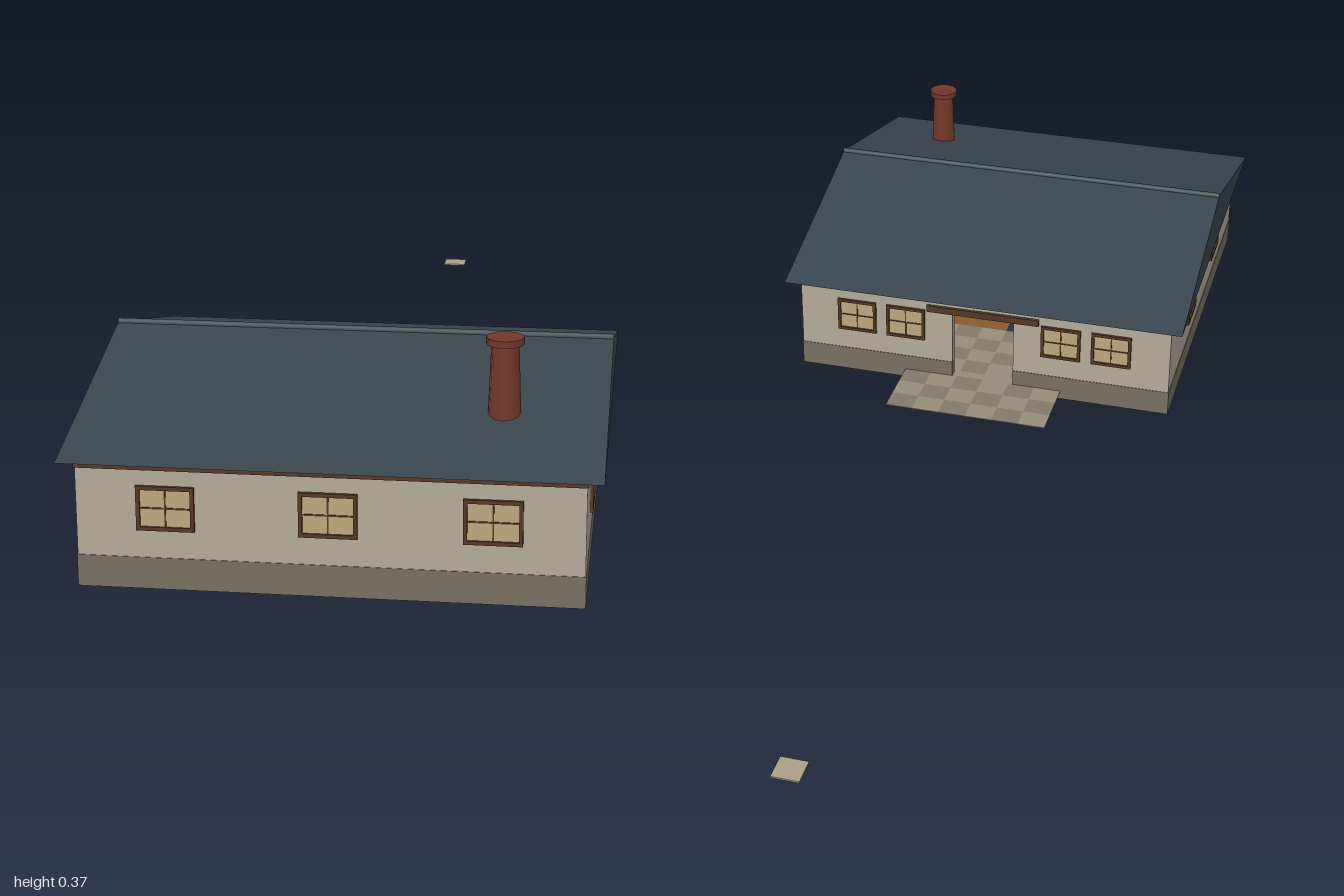
import * as THREE from 'three';
import { mergeGeometries } from 'three/addons/utils/BufferGeometryUtils.js';

const COLORS = {
  wall: 0xb4ab99, base: 0x767063, roof: 0x3a444e, trim: 0x553824, glass: 0xbba97d,
  brick: 0x743829, stoneA: 0x968d7c, stoneB: 0x827a6c, tileA: 0x3f6478, tileB: 0x25343e,
  woodA: 0x8a5a30, woodB: 0x74491f, paver: 0xaca08a,
};
const mats = {};
for (const k in COLORS) mats[k] = new THREE.MeshStandardMaterial({ color: COLORS[k] });

// House footprint
const X = 0.38, Z0 = 0.22, Z1 = 0.98, ZC = (Z0 + Z1) / 2, T = 0.02;
const DOOR = 0.063, FLOOR = 0.018;

function add(parent, name, geo, mat) {
  const m = new THREE.Mesh(geo, mats[mat]);
  m.name = name;
  parent.add(m);
  return m;
}

// Box given by its limits
function span(x0, x1, y0, y1, z0, z1) {
  return new THREE.BoxGeometry(x1 - x0, y1 - y0, z1 - z0)
    .translate((x0 + x1) / 2, (y0 + y1) / 2, (z0 + z1) / 2);
}

// Four walls between two heights, optionally split by the doorway at the back
function ring(y0, y1, out, doorway) {
  const x = X + out, a = Z0 - out, b = Z1 + out;
  const parts = [
    span(-x, x, y0, y1, b - T, b),
    span(-x, -x + T, y0, y1, a + T, b - T),
    span(x - T, x, y0, y1, a + T, b - T),
  ];
  if (doorway) parts.push(span(-x, -DOOR, y0, y1, a, a + T), span(DOOR, x, y0, y1, a, a + T));
  else parts.push(span(-x, x, y0, y1, a, a + T));
  return mergeGeometries(parts);
}

// Thin floor laid in two alternating colours
function paving(parent, name, x0, x1, z0, z1, nx, nz, matA, matB) {
  const sets = [[], []], dx = (x1 - x0) / nx, dz = (z1 - z0) / nz;
  for (let i = 0; i < nx; i++) {
    for (let j = 0; j < nz; j++) {
      const x = x0 + i * dx, z = z0 + j * dz;
      sets[(i + j) % 2].push(span(x, x + dx, FLOOR - 0.002, FLOOR, z, z + dz));
    }
  }
  add(parent, name + 'Light', mergeGeometries(sets[0]), matA);
  add(parent, name + 'Dark', mergeGeometries(sets[1]), matB);
}

// Framed window with a cross bar, facing +z
function makeWindow(w) {
  const g = new THREE.Group(), h = 0.07, f = 0.006;
  g.name = 'window';
  const shape = new THREE.Shape();
  shape.moveTo(-w / 2, -h / 2).lineTo(w / 2, -h / 2).lineTo(w / 2, h / 2).lineTo(-w / 2, h / 2).closePath();
  const hole = new THREE.Path(), a = w / 2 - f, b = h / 2 - f;
  hole.moveTo(-a, -b).lineTo(-a, b).lineTo(a, b).lineTo(a, -b).closePath();
  shape.holes.push(hole);
  add(g, 'windowFrame', new THREE.ExtrudeGeometry(shape, { depth: 0.005, bevelEnabled: false }), 'trim');
  add(g, 'windowPane', span(-a, a, -b, b, -0.002, 0.0015), 'glass');
  add(g, 'windowBars', mergeGeometries([
    span(-0.0012, 0.0012, -b, b, 0, 0.003), span(-a, a, -0.0012, 0.0012, 0, 0.003),
  ]), 'trim');
  return g;
}

export function createModel() {
  const model = new THREE.Group();
  model.name = 'house';

  // Shell
  add(model, 'foundation', ring(0, 0.05, 0.001, true), 'base');
  add(model, 'walls', ring(0.05, 0.165, 0, true), 'wall');
  add(model, 'upperWalls', ring(0.165, 0.19, 0, false), 'wall');
  add(model, 'eaveTrim', ring(0.188, 0.202, 0.002, false), 'trim');
  add(model, 'doorLintel', span(-0.115, 0.115, 0.163, 0.177, Z0 - 0.006, Z0 + T), 'trim');

  // Gable roof as a closed prism along x
  const gable = new THREE.Shape();
  gable.moveTo(-0.405, 0.2).lineTo(0.405, 0.2).lineTo(0, 0.305).closePath();
  const roof = new THREE.ExtrudeGeometry(gable, { depth: 0.81, bevelEnabled: false });
  roof.translate(0, 0, -0.405).rotateY(Math.PI / 2).translate(0, 0, 0.595);
  add(model, 'roof', roof, 'roof');
  const ridge = new THREE.CylinderGeometry(0.007, 0.007, 0.81, 8);
  ridge.rotateZ(Math.PI / 2).translate(0, 0.303, 0.595);
  add(model, 'roofRidge', ridge, 'roof');

  // Chimney
  add(model, 'chimney', new THREE.CylinderGeometry(0.021, 0.026, 0.13, 12), 'brick').position.set(0.247, 0.293, 0.82);
  add(model, 'chimneyCap', new THREE.CylinderGeometry(0.029, 0.029, 0.011, 12), 'brick').position.set(0.247, 0.3595, 0.82);

  // Windows: x, z, turn about y, width
  const windows = [];
  for (const x of [-0.244, 0, 0.244]) windows.push([x, Z1, 0, 0.088]);
  for (const x of [-0.262, -0.16, 0.16, 0.262]) windows.push([x, Z0, Math.PI, 0.08]);
  for (const z of [0.41, 0.6, 0.787]) windows.push([X, z, Math.PI / 2, 0.086]);
  for (const z of [0.457, 0.738]) windows.push([-X, z, -Math.PI / 2, 0.086]);
  for (const [x, z, turn, w] of windows) {
    const win = makeWindow(w);
    win.position.set(x, 0.129, z);
    win.rotation.y = turn;
    model.add(win);
  }

  // Floors: hall, wooden room, tiled room and the porch outside the doorway
  const xi = X - T, hall = 0.42;
  paving(model, 'hallFloor', -xi, xi, Z0 + T, hall, 14, 4, 'stoneA', 'stoneB');
  paving(model, 'woodFloor', 0, xi, hall, Z1 - T, 1, 16, 'woodA', 'woodB');
  paving(model, 'tiledFloor', -xi, 0, hall, Z1 - T, 10, 15, 'tileA', 'tileB');
  paving(model, 'porch', -0.162, 0.162, 0.08, Z0, 6, 3, 'stoneA', 'stoneB');
  add(model, 'threshold', span(-DOOR, DOOR, FLOOR - 0.002, FLOOR, Z0, Z0 + T), 'stoneA');

  // Lone paving slab far behind the house
  add(model, 'pavingSlab', span(-0.024, 0.024, 0.019, 0.022, -1, -0.952), 'paver');

  return model;
}
